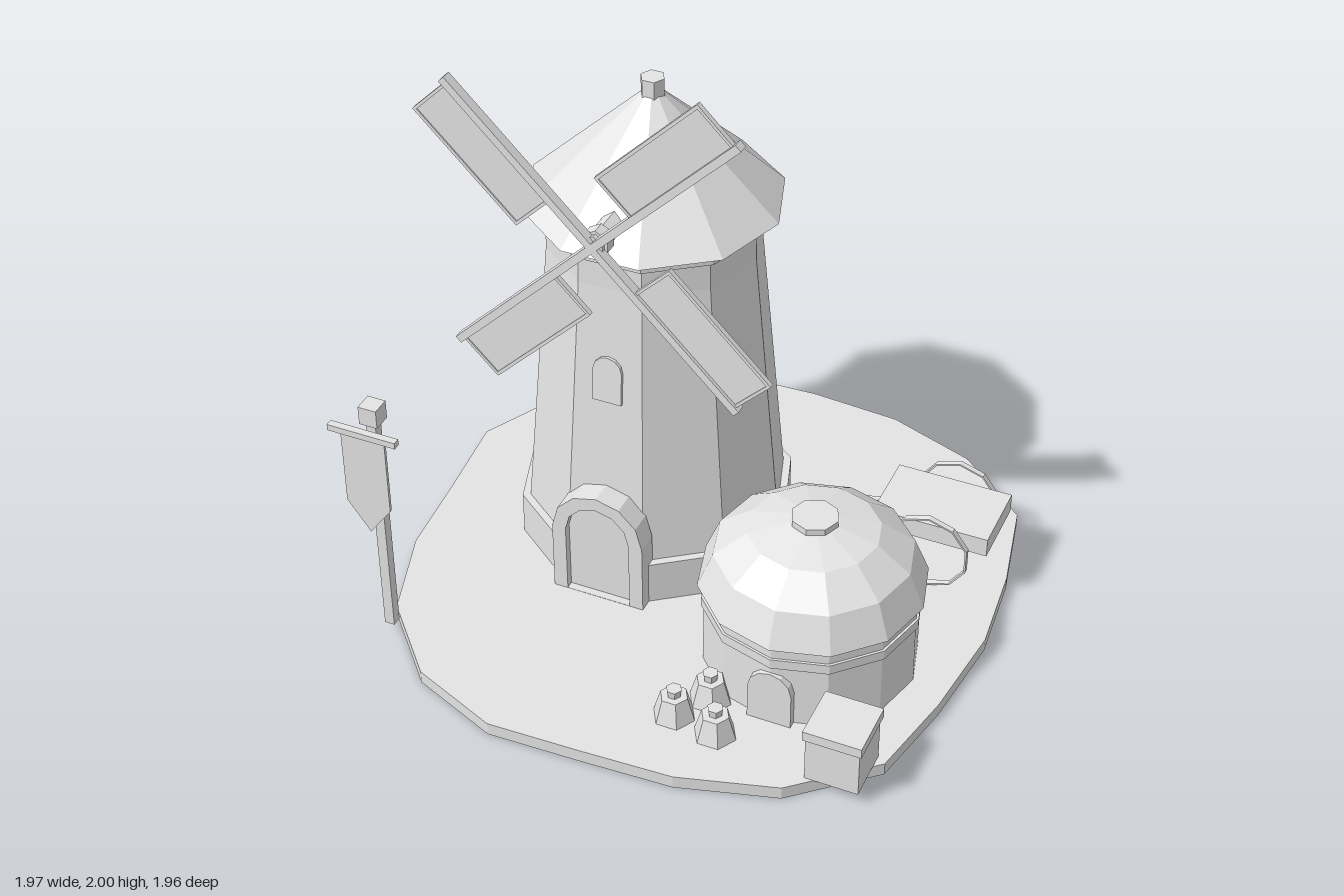
import * as THREE from 'three';

const stone = new THREE.MeshStandardMaterial({ color: 0xe4e4e4, flatShading: true });
stone.name = 'light grey';

function add(parent, name, geometry, x = 0, y = 0, z = 0) {
  const mesh = new THREE.Mesh(geometry, stone);
  mesh.name = name;
  mesh.position.set(x, y, z);
  parent.add(mesh);
  return mesh;
}

function group(parent, name, x = 0, y = 0, z = 0) {
  const g = new THREE.Group();
  g.name = name;
  g.position.set(x, y, z);
  parent.add(g);
  return g;
}

const box = (w, h, d) => new THREE.BoxGeometry(w, h, d);
const points = (list) => list.map(([x, y]) => new THREE.Vector2(x, y));

// Faceted drum standing between two heights
function drum(rBottom, rTop, y0, y1, sides, turn = 0) {
  return new THREE.CylinderGeometry(rTop, rBottom, y1 - y0, sides)
    .rotateY(turn).translate(0, (y0 + y1) / 2, 0);
}

// Outline of an arch: straight sides and a faceted round head
function archPoints(r, y0, spring, steps = 6) {
  const pts = [new THREE.Vector2(-r, y0), new THREE.Vector2(r, y0)];
  for (let i = 0; i <= steps; i++) {
    const a = (i / steps) * Math.PI;
    pts.push(new THREE.Vector2(r * Math.cos(a), spring + r * Math.sin(a)));
  }
  return pts;
}

function extrude(outline, depth, hole) {
  const shape = new THREE.Shape(outline);
  if (hole) shape.holes.push(new THREE.Path(hole));
  return new THREE.ExtrudeGeometry(shape, { depth, bevelEnabled: false });
}

function buildGround(root) {
  const outline = points([
    [-0.31, -0.98], [0, -0.97], [0.31, -0.955], [0.63, -0.865], [0.88, -0.645],
    [0.945, -0.34], [0.983, 0], [0.953, 0.31], [0.885, 0.63], [0.63, 0.85],
    [0.32, 0.96], [0, 0.983], [-0.31, 0.97], [-0.62, 0.86], [-0.83, 0.61],
    [-0.985, 0.31], [-0.955, 0], [-0.93, -0.31], [-0.83, -0.62], [-0.61, -0.86],
  ]);
  add(root, 'ground', extrude(outline, 0.045).rotateX(-Math.PI / 2));
}

function buildTower(root) {
  const tower = group(root, 'tower', -0.245, 0, -0.16);
  const turn = Math.PI / 10;
  add(tower, 'towerBase', drum(0.463, 0.463, 0.045, 0.2, 10, turn));
  add(tower, 'towerBody', drum(0.436, 0.348, 0.2, 1.19, 10, turn));
  add(tower, 'towerNeck', drum(0.348, 0.346, 1.19, 1.29, 10, turn));
  add(tower, 'towerCollar', drum(0.367, 0.367, 1.29, 1.34, 10, turn));
  add(tower, 'roof', drum(0.421, 0.035, 1.34, 1.71, 10, turn));
  add(tower, 'roofFinial', drum(0.04, 0.04, 1.69, 1.765, 6, Math.PI / 6));

  // Arched doorway with a recessed door
  add(tower, 'doorFrame', extrude(archPoints(0.16, 0.045, 0.3), 0.08, archPoints(0.112, 0.046, 0.3)), 0, 0, 0.395);
  add(tower, 'door', extrude(archPoints(0.113, 0.046, 0.3), 0.053), 0, 0, 0.395);

  // Arched window leaning with the wall
  const window = add(tower, 'window', extrude(archPoints(0.05, -0.08, 0.035), 0.03), 0, 0.86, 0.34);
  window.rotation.x = -0.083;
}

function buildSails(root) {
  const sails = group(root, 'sails', -0.243, 1.417, 0.28);
  add(sails, 'shaft', new THREE.CylinderGeometry(0.035, 0.035, 0.22, 6).rotateX(Math.PI / 2), 0, 0, -0.11);
  add(sails, 'hub', new THREE.CylinderGeometry(0.046, 0.046, 0.045, 6).rotateX(Math.PI / 2), 0, 0, -0.038);
  for (let i = 0; i < 4; i++) {
    const arm = group(sails, 'sailArm');
    arm.rotation.z = Math.PI / 4 + (i * Math.PI) / 2;
    add(arm, 'spar', box(0.67, 0.026, 0.034), 0.335, 0, 0);
    add(arm, 'sailPanel', box(0.465, 0.165, 0.01), 0.421, 0.084, 0);
    add(arm, 'sailOuterRail', box(0.468, 0.011, 0.018), 0.421, 0.163, 0);
    for (const x of [0.192, 0.65]) add(arm, 'sailEndRail', box(0.01, 0.16, 0.018), x, 0.083, 0);
  }
}

function buildHut(root) {
  const hut = group(root, 'hut', 0.485, 0, 0.265);
  add(hut, 'hutWall', drum(0.348, 0.345, 0.045, 0.36, 12));
  add(hut, 'hutBand', drum(0.354, 0.354, 0.27, 0.305, 12));
  const profile = points([[0, 0.355], [0.367, 0.355], [0.318, 0.475], [0.21, 0.555], [0.08, 0.585], [0, 0.585]]);
  add(hut, 'hutDome', new THREE.LatheGeometry(profile, 12));
  add(hut, 'hutCap', drum(0.077, 0.077, 0.575, 0.607, 8));
  add(hut, 'hutDoor', extrude(archPoints(0.073, 0.045, 0.172), 0.04), 0, 0, 0.315);
}

function buildYard(root) {
  // Tied sacks
  for (const [x, z] of [[0.28, 0.6], [0.205, 0.71], [0.355, 0.735]]) {
    const sack = group(root, 'sack', x, 0, z);
    add(sack, 'sackBody', drum(0.07, 0.046, 0.045, 0.13, 6, Math.PI / 6));
    add(sack, 'sackNeck', drum(0.022, 0.026, 0.13, 0.157, 6, Math.PI / 6));
  }

  // Crate with lid
  const crate = group(root, 'crate', 0.763, 0, 0.71);
  add(crate, 'crateBox', box(0.175, 0.165, 0.175), 0, 0.127, 0);
  add(crate, 'crateLid', box(0.19, 0.035, 0.19), 0, 0.225, 0);

  // Banner on a post
  const post = group(root, 'bannerPost', -0.81, 0, 0.685);
  add(post, 'pole', box(0.034, 0.83, 0.034), 0, 0.46, 0);
  add(post, 'poleCap', box(0.062, 0.065, 0.062), 0, 0.902, 0);
  add(post, 'crossbar', box(0.235, 0.022, 0.024), 0, 0.863, 0.066);
  const cloth = points([[-0.076, 0.86], [-0.076, 0.585], [0, 0.48], [0.076, 0.585], [0.076, 0.86]]);
  add(post, 'banner', extrude(cloth, 0.01), 0, 0, 0.061);

  // Handcart with hoop wheels
  const cart = group(root, 'cart', 0.708, 0, -0.333);
  add(cart, 'cartBed', box(0.395, 0.068, 0.25), 0, 0.24, 0);
  const rim = points([[0.135, -0.01], [0.141, -0.01], [0.141, 0.01], [0.135, 0.01], [0.135, -0.01]]);
  for (const side of [-1, 1]) {
    add(cart, 'wheel', new THREE.LatheGeometry(rim, 10).rotateX(Math.PI / 2), 0.007, 0.187, side * 0.153);
  }
  const handle = add(cart, 'cartHandle', box(0.27, 0.018, 0.02), -0.315, 0.186, 0);
  handle.rotation.z = 0.2;
}

export function createModel() {
  const root = new THREE.Group();
  root.name = 'windmillYard';
  buildGround(root);
  buildTower(root);
  buildSails(root);
  buildHut(root);
  buildYard(root);
  return root;
}
